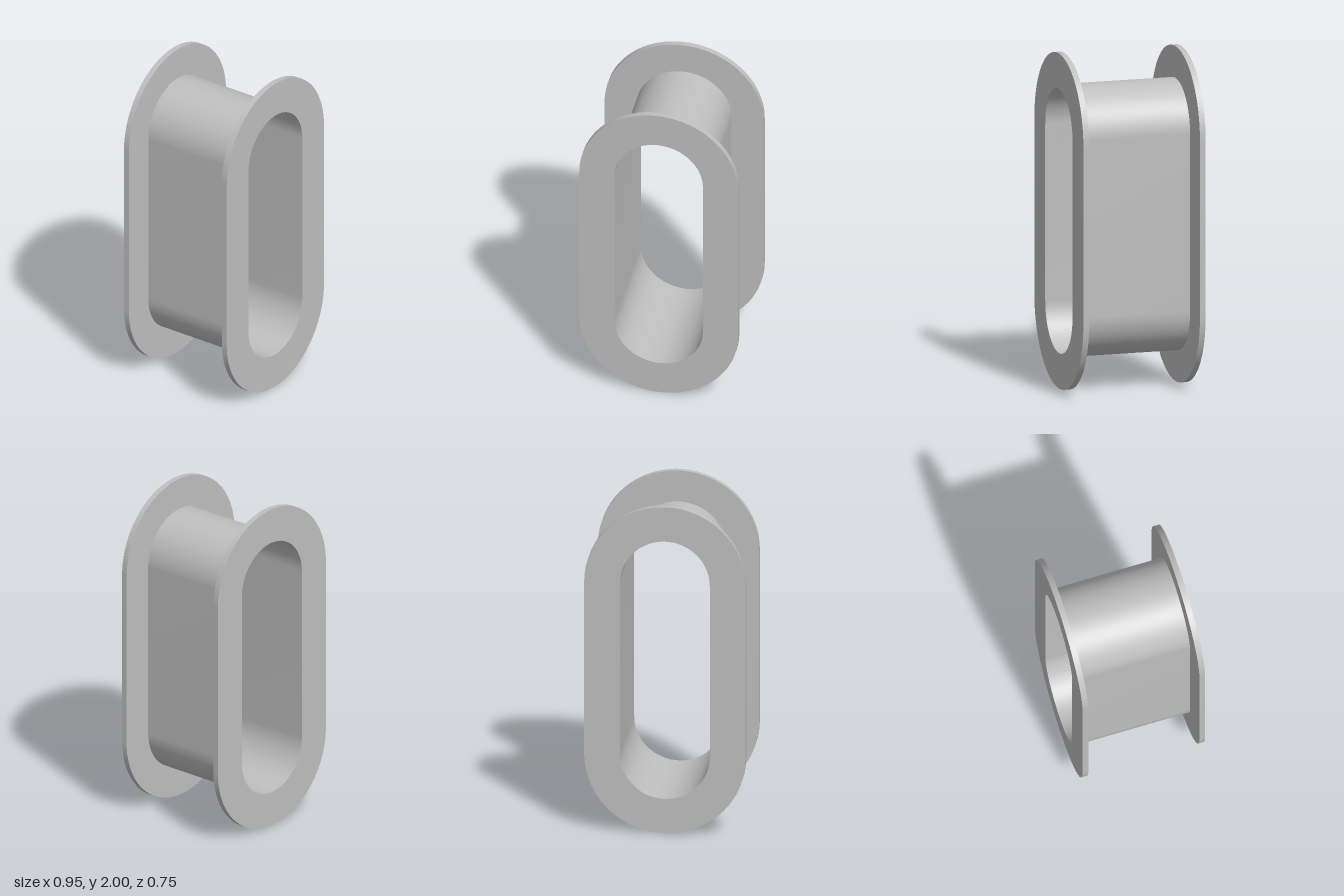
import * as THREE from 'three';
import { toCreasedNormals } from 'three/addons/utils/BufferGeometryUtils.js';

const STRAIGHT = 0.525;  // half length of the straight sides
const R_RIM = 0.475, R_SLEEVE = 0.285, R_BORE = 0.264;
const DEPTH = 0.375, RIM = 0.035;

// Upright slot outline: two half circles joined by straight sides
function slot(path, r) {
  path.absarc(0, STRAIGHT, r, 0, Math.PI, false);
  path.absarc(0, -STRAIGHT, r, Math.PI, Math.PI * 2, false);
  path.closePath();
  return path;
}

// Slot-shaped ring from z0 to z1; the caps can be left off
function ring(rOuter, rInner, z0, z1, capped) {
  const shape = slot(new THREE.Shape(), rOuter);
  shape.holes.push(slot(new THREE.Path(), rInner));
  let geo = new THREE.ExtrudeGeometry(shape, { depth: z1 - z0, bevelEnabled: false, curveSegments: 40 });
  if (!capped) {
    const sides = geo.groups[1];
    const pos = geo.attributes.position.array.slice(sides.start * 3, (sides.start + sides.count) * 3);
    geo = new THREE.BufferGeometry();
    geo.setAttribute('position', new THREE.BufferAttribute(pos, 3));
  }
  geo.clearGroups();
  geo.translate(0, STRAIGHT + R_RIM, z0);
  return toCreasedNormals(geo, 0.6);
}

export function createModel() {
  const group = new THREE.Group();
  group.name = 'slottedSpool';
  const grey = new THREE.MeshStandardMaterial({ color: 0xbfbfbf });
  grey.name = 'light grey';

  const add = (name, geo) => {
    const mesh = new THREE.Mesh(geo, grey);
    mesh.name = name;
    group.add(mesh);
  };

  const inner = DEPTH - RIM;
  add('sleeve', ring(R_SLEEVE, R_BORE, -inner, inner, false));
  add('frontFlange', ring(R_RIM, R_BORE, inner, DEPTH, true));
  add('backFlange', ring(R_RIM, R_BORE, -DEPTH, -inner, true));
  return group;
}
